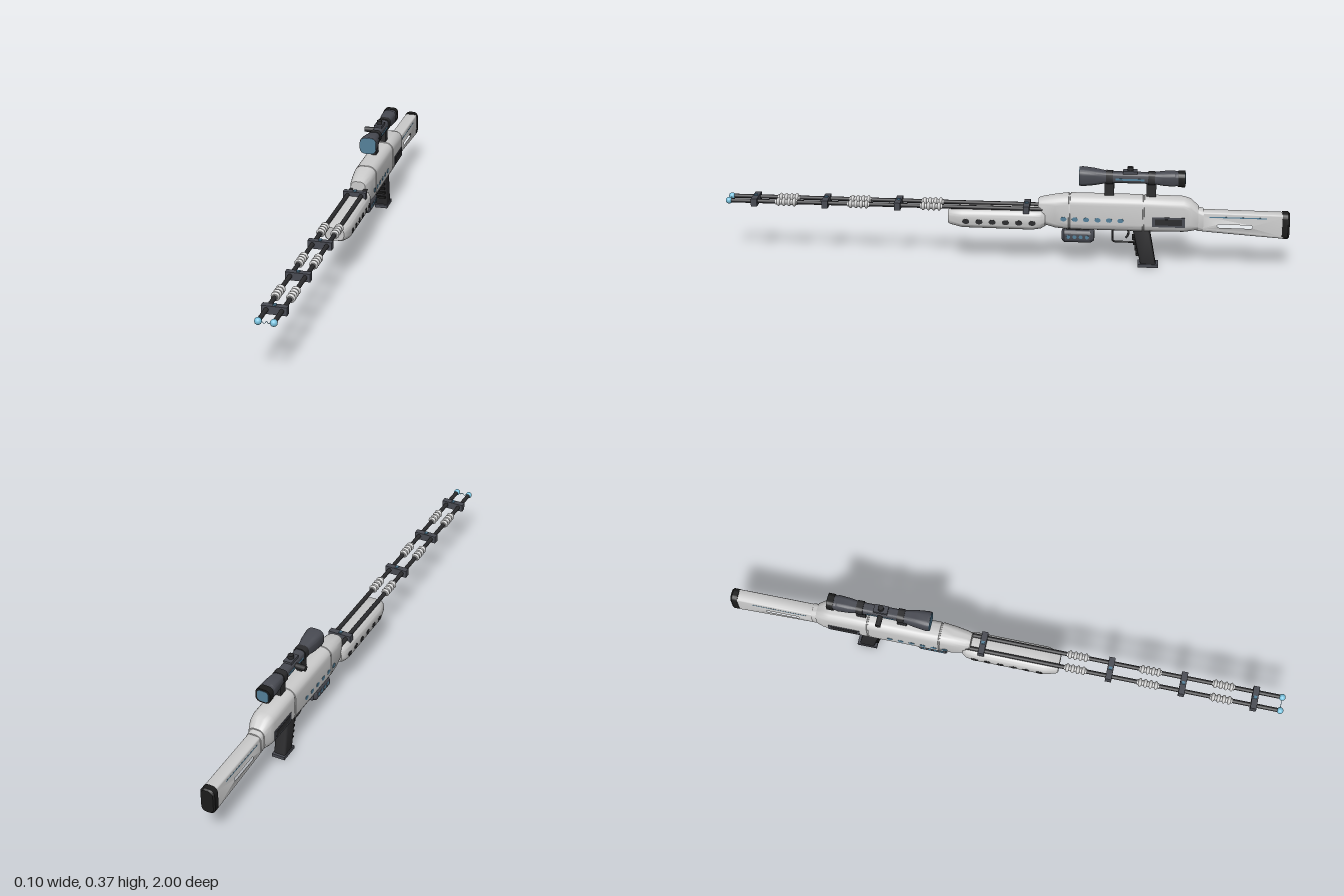
import * as THREE from 'three';
import { toCreasedNormals } from 'three/addons/utils/BufferGeometryUtils.js';

const mat = (color) => new THREE.MeshStandardMaterial({ color });
const M = {
  shell: mat(0xcccccc), dark: mat(0x2b2b2d), scope: mat(0x484a52),
  blue: mat(0x7cc4e0), lens: mat(0x54809a), black: mat(0x1c1c1c),
};

// Lofts rounded rectangles [z, halfWidth, yBottom, yTop, cornerRadius], listed front to back
function loft(sections, steps = 6) {
  const pos = [], index = [], n = 4 * (steps + 1);
  for (const [z, w, y0, y1, r] of sections) {
    const corners = [[w - r, y1 - r], [r - w, y1 - r], [r - w, y0 + r], [w - r, y0 + r]];
    corners.forEach(([cx, cy], c) => {
      for (let i = 0; i <= steps; i++) {
        const a = (c + i / steps) * Math.PI / 2;
        pos.push(cx + r * Math.cos(a), cy + r * Math.sin(a), z);
      }
    });
  }
  const last = (sections.length - 1) * n;
  for (let s = 0; s < last; s += n) {
    for (let j = 0; j < n; j++) {
      const a = s + j, b = s + (j + 1) % n;
      index.push(a, a + n, b, b, a + n, b + n);
    }
  }
  for (let j = 1; j < n - 1; j++) index.push(0, j, j + 1, last, last + j + 1, last + j);
  const g = new THREE.BufferGeometry();
  g.setAttribute('position', new THREE.Float32BufferAttribute(pos, 3));
  g.setIndex(index);
  return toCreasedNormals(g, 0.5);
}

// Side outline drawn in (z, y), extruded across x
function sideExtrude(shape, width, bevel) {
  const g = new THREE.ExtrudeGeometry(shape, {
    depth: width - 2 * bevel, bevelThickness: bevel, bevelSize: bevel, bevelOffset: -bevel,
    bevelSegments: 4, curveSegments: 10,
  });
  g.translate(0, 0, bevel - width / 2).rotateY(-Math.PI / 2);
  return toCreasedNormals(g, 0.6);
}

export function createModel() {
  const model = new THREE.Group();
  model.name = 'longRailRifle';
  const add = (name, geo, material, x = 0, y = 0, z = 0) => {
    const m = new THREE.Mesh(geo, material);
    m.name = name;
    m.position.set(x + 0.002, y, z);
    model.add(m);
    return m;
  };
  const box = (name, w, h, d, material, x, y, z) => add(name, new THREE.BoxGeometry(w, h, d), material, x, y, z);
  const rodZ = (r, len, seg = 16) => new THREE.CylinderGeometry(r, r, len, seg).rotateX(Math.PI / 2);
  const rodX = (r, len, seg = 18) => new THREE.CylinderGeometry(r, r, len, seg).rotateZ(Math.PI / 2);

  // Receiver, with shallow seams
  const seam = (z) => [[z + 0.003, 0.041, 0.135, 0.262, 0.03], [z + 0.002, 0.039, 0.137, 0.26, 0.03],
    [z - 0.002, 0.039, 0.137, 0.26, 0.03], [z - 0.003, 0.041, 0.135, 0.262, 0.03]];
  add('receiver', loft([
    [-0.12, 0.027, 0.165, 0.242, 0.02], [-0.135, 0.032, 0.15, 0.247, 0.025],
    [-0.18, 0.038, 0.138, 0.256, 0.03], ...seam(-0.23), ...seam(-0.49),
    [-0.63, 0.041, 0.137, 0.26, 0.03], [-0.655, 0.039, 0.14, 0.252, 0.03],
    [-0.682, 0.03, 0.145, 0.228, 0.024],
  ]), M.shell);
  box('sidePorts', 0.085, 0.036, 0.115, M.scope, 0, 0.179, -0.578);
  box('portInsets', 0.087, 0.022, 0.095, M.dark, 0, 0.179, -0.578);
  for (let i = 0; i < 6; i++) {
    add('statusLight', rodX(0.008, 0.084), M.lens, 0, 0.18, -0.21 - i * 0.04).scale.z = 1.35;
  }

  // Handguard with dark vents on both sides
  add('handguard', loft([
    [0.2, 0.033, 0.147, 0.193, 0.018], [0.192, 0.038, 0.143, 0.197, 0.02],
    [0.15, 0.048, 0.134, 0.204, 0.026], [-0.1, 0.048, 0.132, 0.206, 0.026],
    [-0.13, 0.045, 0.137, 0.206, 0.026], [-0.145, 0.036, 0.145, 0.2, 0.02],
  ]), M.shell);
  for (let i = 0; i < 6; i++) {
    add('handguardVent', rodX(0.009, 0.0975), M.dark, 0, 0.163, 0.135 - i * 0.047).scale.z = 1.4;
  }

  // Twin rails with ribbed insulators and glowing tips
  for (const side of [-1, 1]) {
    const x = side * 0.025;
    add('rail', rodZ(0.0075, 1.12), M.dark, x, 0.209, 0.42);
    add('railTip', new THREE.SphereGeometry(0.012, 20, 14), M.blue, x, 0.209, 0.988);
    for (const z of [0.78, 0.52, 0.26]) {
      add('insulatorCore', rodZ(0.01, 0.078), M.shell, x, 0.209, z);
      for (let i = 0; i < 4; i++) {
        const ring = new THREE.SphereGeometry(0.0155, 18, 10);
        add('insulatorRing', ring, M.shell, x, 0.209, z + (i - 1.5) * 0.019).scale.z = 0.5;
      }
    }
  }
  for (const z of [0.895, 0.64, 0.38, -0.078]) {
    box('railBracket', 0.084, 0.028, 0.022, M.scope, 0, 0.208, z);
    box('bracketLight', 0.01, 0.006, 0.012, M.lens, 0, 0.223, z);
  }
  const arc = [[-0.014, 0.209], [-0.006, 0.203], [0.003, 0.211], [0.008, 0.204], [0.014, 0.209]]
    .map(([x, y]) => new THREE.Vector3(x, y, 0.988));
  add('tipArc', new THREE.TubeGeometry(new THREE.CatmullRomCurve3(arc), 16, 0.001, 5), M.blue);

  // Stock with a through slot
  const stock = new THREE.Shape();
  stock.moveTo(-0.675, 0.214);
  stock.lineTo(-0.675, 0.143);
  stock.lineTo(-0.72, 0.139);
  stock.lineTo(-0.985, 0.122);
  stock.lineTo(-0.985, 0.211);
  const slot = new THREE.Path();
  slot.moveTo(-0.755, 0.149);
  slot.lineTo(-0.865, 0.148);
  slot.absarc(-0.865, 0.164, 0.016, -Math.PI / 2, Math.PI / 2, true);
  slot.lineTo(-0.755, 0.182);
  slot.absarc(-0.755, 0.1655, 0.0165, Math.PI / 2, -Math.PI / 2, true);
  stock.holes.push(slot);
  add('stock', sideExtrude(stock, 0.048, 0.01), M.shell);
  add('stockCollar', loft([
    [-0.68, 0.027, 0.142, 0.224, 0.02], [-0.7, 0.027, 0.139, 0.219, 0.02],
  ]), M.shell);
  box('stockStrips', 0.0488, 0.004, 0.2, M.lens, 0, 0.197, -0.82);
  add('buttPad', loft([
    [-0.974, 0.026, 0.12, 0.216, 0.02], [-0.994, 0.026, 0.119, 0.216, 0.02],
    [-1.0, 0.022, 0.124, 0.211, 0.018],
  ]), M.black);

  // Scope, a rounded square tube
  const tube = (rows) => loft(rows.map(([z, r]) => [z, r, 0.328 - r, 0.328 + r, r * 0.65]));
  add('scopeBody', tube([
    [-0.264, 0.031], [-0.275, 0.032], [-0.315, 0.028], [-0.365, 0.019], [-0.52, 0.019],
    [-0.555, 0.024], [-0.595, 0.026], [-0.6, 0.024], [-0.605, 0.024], [-0.61, 0.026],
  ]), M.scope);
  add('eyepiece', tube([[-0.608, 0.027], [-0.632, 0.027]]), M.black);
  add('frontLens', tube([[-0.262, 0.03], [-0.268, 0.03]]), M.lens);
  add('rearLens', tube([[-0.63, 0.021], [-0.6335, 0.021]]), M.lens);
  box('scopeStrips', 0.0395, 0.007, 0.1, M.lens, 0, 0.325, -0.44);
  for (const z of [-0.368, -0.515]) {
    box('scopeMount', 0.02, 0.066, 0.034, M.dark, 0, 0.287, z);
    add('mountRing', tube([[z + 0.012, 0.0225], [z - 0.012, 0.0225]]), M.dark);
  }
  box('turretBase', 0.03, 0.014, 0.05, M.scope, 0, 0.347, -0.44);
  add('topTurret', new THREE.CylinderGeometry(0.01, 0.011, 0.03, 18), M.dark, 0, 0.352, -0.44);
  add('sideKnob', rodX(0.01, 0.04), M.dark, -0.036, 0.328, -0.44);

  // Pod under the receiver
  add('powerPod', loft([
    [-0.203, 0.016, 0.092, 0.125, 0.012], [-0.212, 0.025, 0.084, 0.132, 0.016],
    [-0.305, 0.025, 0.084, 0.132, 0.016], [-0.318, 0.017, 0.091, 0.125, 0.012],
  ]), M.scope);
  for (let i = 0; i < 4; i++) {
    add('podLight', rodX(0.007, 0.0515), M.lens, 0, 0.108, -0.227 - i * 0.022);
  }
  box('podMount', 0.026, 0.02, 0.08, M.dark, 0, 0.133, -0.26);

  // Trigger and its guard
  const guard = [[0.14, -0.383], [0.092, -0.383], [0.087, -0.39], [0.087, -0.47]]
    .map(([y, z]) => new THREE.Vector3(0, y, z));
  const guardPath = new THREE.CurvePath();
  for (let i = 0; i < 3; i++) guardPath.add(new THREE.LineCurve3(guard[i], guard[i + 1]));
  add('triggerGuard', new THREE.TubeGeometry(guardPath, 40, 0.0035, 8), M.dark);
  const pull = new THREE.QuadraticBezierCurve3(new THREE.Vector3(0, 0.14, -0.435),
    new THREE.Vector3(0, 0.118, -0.445), new THREE.Vector3(0, 0.103, -0.43));
  add('trigger', new THREE.TubeGeometry(pull, 10, 0.004, 8), M.dark);

  // Raked pistol grip with finger ridges and base plate
  const grip = new THREE.Shape();
  grip.moveTo(-0.452, 0.145);
  grip.lineTo(-0.484, 0.008);
  grip.lineTo(-0.538, 0.008);
  grip.lineTo(-0.512, 0.145);
  add('grip', sideExtrude(grip, 0.045, 0.009), M.dark);
  for (let i = 0; i < 4; i++) {
    const y = 0.046 + i * 0.02;
    box('gripRidge', 0.036, 0.008, 0.012, M.black, 0, y, -0.486 + y * 0.234 + 0.003);
  }
  box('gripBase', 0.048, 0.012, 0.072, M.scope, 0, 0.006, -0.51);
  return model;
}
